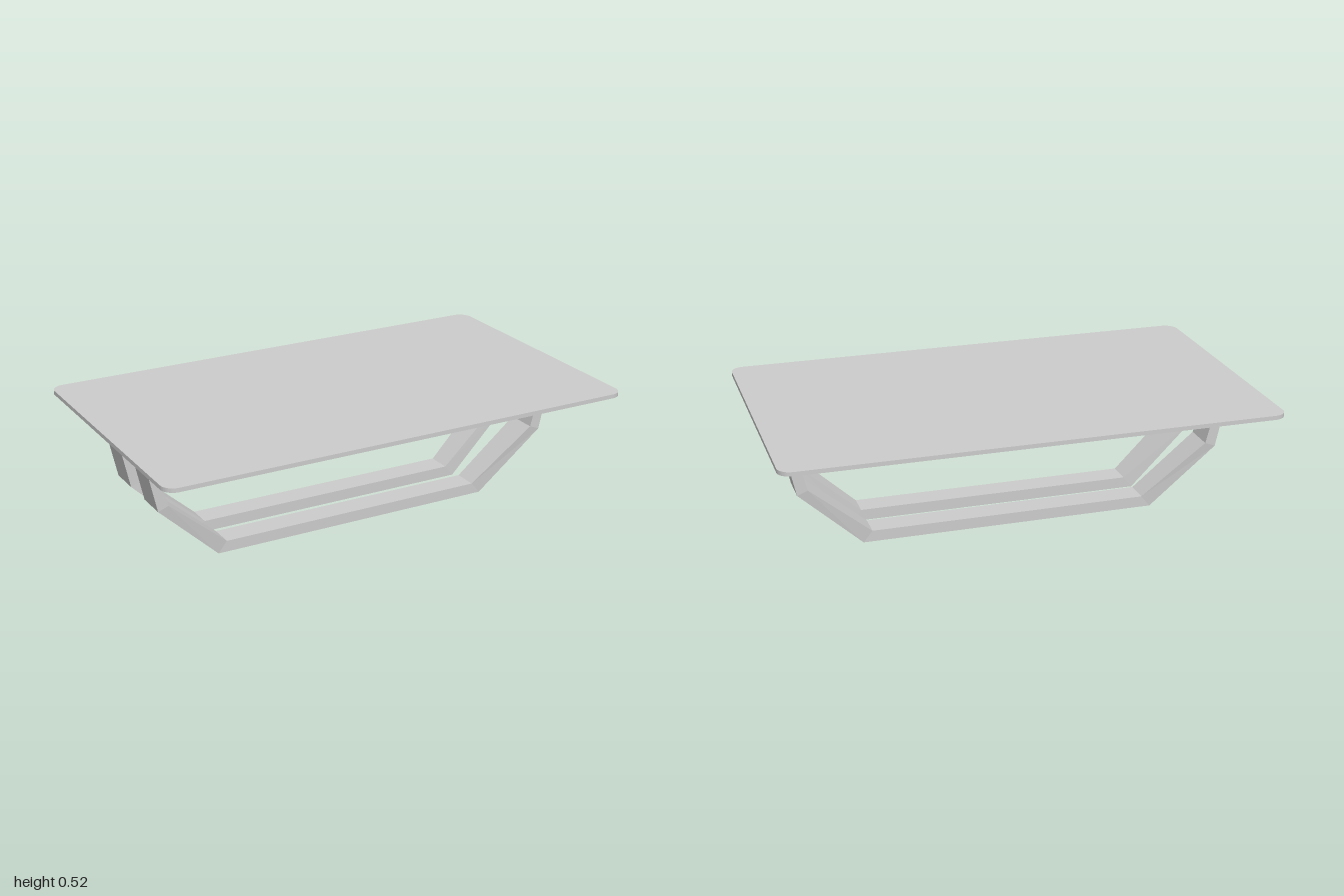
import * as THREE from 'three';
import { toCreasedNormals } from 'three/addons/utils/BufferGeometryUtils.js';

const material = new THREE.MeshStandardMaterial({ color: 0xcccccc });

// Side profile of the bent base: [x, y] on the outer and inner faces
const FOOT = { outer: [0.61, 0], inner: [0.573, 0.046], slot: 0.053, half: 0.155 };
const KNEE = { outer: [0.874, 0.255], inner: [0.831, 0.272], slot: 0.067, half: 0.198 };
const HEAD = { outer: [0.93, 0.507], inner: [0.892, 0.507] };
const { lerp } = THREE.MathUtils;

function addMesh(parent, name, geometry) {
  const mesh = new THREE.Mesh(geometry, material);
  mesh.name = name;
  parent.add(mesh);
  return mesh;
}

// Thin slab with rounded corners
function tabletopGeometry() {
  const w = 1, d = 0.587, r = 0.053;
  const s = new THREE.Shape();
  s.absarc(w - r, d - r, r, 0, Math.PI / 2);
  s.absarc(r - w, d - r, r, Math.PI / 2, Math.PI);
  s.absarc(r - w, r - d, r, Math.PI, Math.PI * 1.5);
  s.absarc(w - r, r - d, r, Math.PI * 1.5, Math.PI * 2);
  const g = new THREE.ExtrudeGeometry(s, { depth: 0.017, bevelEnabled: false, curveSegments: 8 });
  g.rotateX(-Math.PI / 2).translate(0, 0.507, 0);
  return toCreasedNormals(g, 0.6);
}

// Slotted upper leg: an upside-down U, leaned between knee and head
function upperLegGeometry() {
  const h = KNEE.half, k = KNEE.slot, top = 0.735, rz = 0.014, rv = 0.055;
  const s = new THREE.Shape();
  s.moveTo(h, 0);
  s.lineTo(h, 1);
  s.lineTo(-h, 1);
  s.lineTo(-h, 0);
  s.lineTo(-k, 0);
  s.lineTo(-k, top - rv);
  s.quadraticCurveTo(-k, top, rz - k, top);
  s.lineTo(k - rz, top);
  s.quadraticCurveTo(k, top, k, top - rv);
  s.lineTo(k, 0);
  s.closePath();
  const g = new THREE.ExtrudeGeometry(s, { depth: 1, bevelEnabled: false, curveSegments: 4 });
  const p = g.attributes.position;
  for (let i = 0; i < p.count; i++) {
    const z = p.getX(i), v = p.getY(i), t = p.getZ(i);
    const at = (n) => lerp(
      lerp(KNEE.outer[n], HEAD.outer[n], v), lerp(KNEE.inner[n], HEAD.inner[n], v), t);
    p.setXYZ(i, at(0), at(1), z);
  }
  g.computeVertexNormals();
  return g;
}

// Rail from knee to knee along the floor, lofted through four cross-sections
function railGeometry() {
  const points = [], index = [];
  for (const [st, side] of [[KNEE, -1], [FOOT, -1], [FOOT, 1], [KNEE, 1]]) {
    const [ox, oy] = st.outer, [ix, iy] = st.inner;
    points.push(side * ox, oy, st.half, side * ox, oy, st.slot,
      side * ix, iy, st.slot, side * ix, iy, st.half);
  }
  for (let i = 0; i < 3; i++) {
    for (let j = 0; j < 4; j++) {
      const a = i * 4 + j, b = i * 4 + (j + 1) % 4;
      index.push(a, b, b + 4, a, b + 4, a + 4);
    }
  }
  const g = new THREE.BufferGeometry();
  g.setAttribute('position', new THREE.Float32BufferAttribute(points, 3));
  g.setIndex(index);
  const flat = g.toNonIndexed();
  flat.computeVertexNormals();
  return flat;
}

export function createModel() {
  const table = new THREE.Group();
  table.name = 'table';
  addMesh(table, 'tabletop', tabletopGeometry());

  const base = new THREE.Group();
  base.name = 'base';
  table.add(base);

  // Each part repeats half a turn around the vertical axis
  const leg = upperLegGeometry(), rail = railGeometry();
  ['left', 'right'].forEach((side, i) => {
    addMesh(base, side + 'UpperLeg', leg).rotation.y = i * Math.PI;
  });
  ['front', 'back'].forEach((side, i) => {
    addMesh(base, side + 'Rail', rail).rotation.y = i * Math.PI;
  });
  return table;
}
